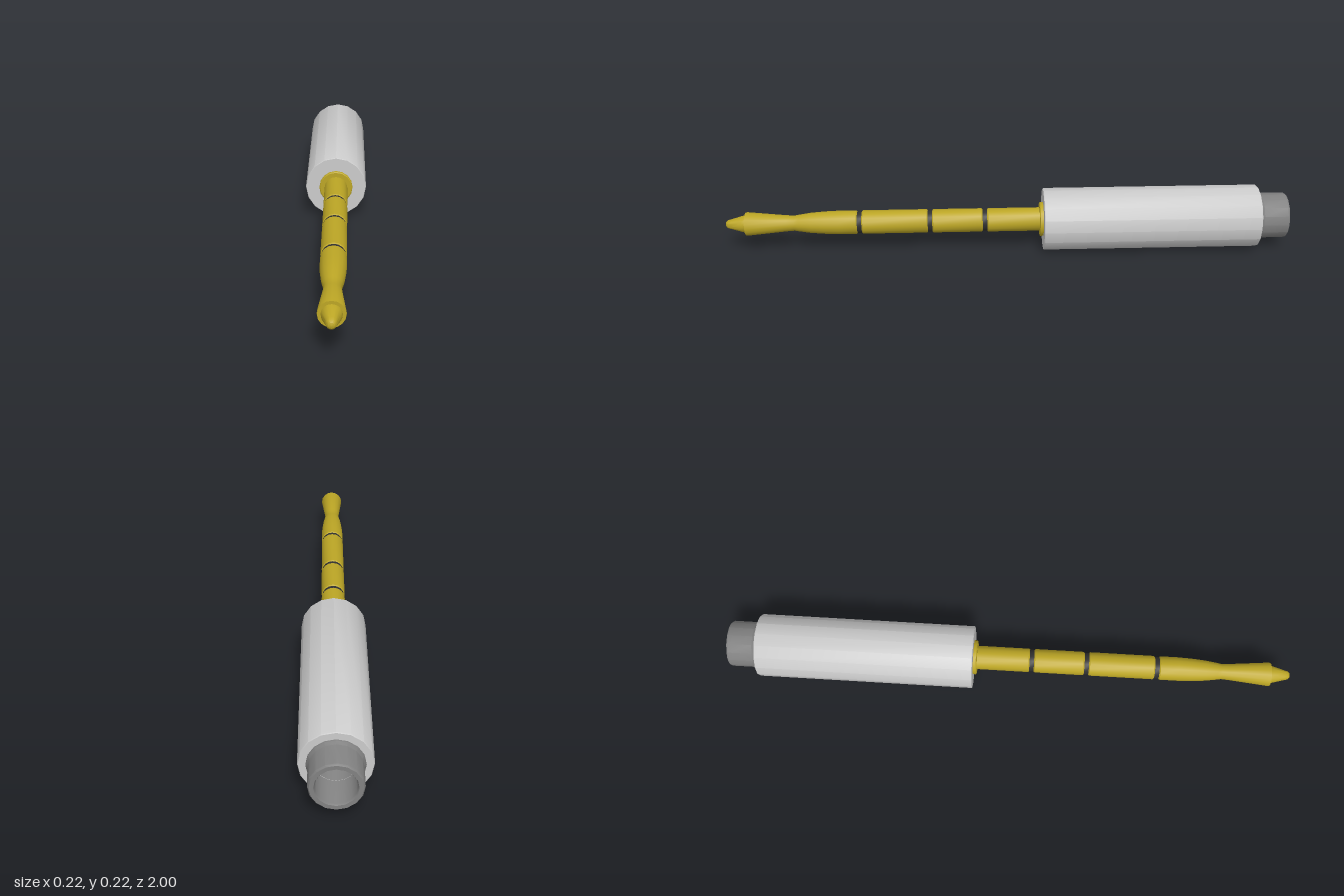
import * as THREE from 'three';
import { toCreasedNormals } from 'three/addons/utils/BufferGeometryUtils.js';

const SIDES = 16;
const AXIS_Y = 0.112;

const silver = new THREE.MeshStandardMaterial({ color: 0xcccccc });
const steel = new THREE.MeshStandardMaterial({ color: 0x818181 });
const gold = new THREE.MeshStandardMaterial({ color: 0xbca625 });
const black = new THREE.MeshStandardMaterial({ color: 0x303030 });

// Turned part: profile of [radius, z], running from back to front
function turned(name, material, profile) {
  const points = profile.map(([r, z]) => new THREE.Vector2(r, z));
  const geometry = new THREE.LatheGeometry(points, SIDES).rotateX(Math.PI / 2);
  const mesh = new THREE.Mesh(toCreasedNormals(geometry, 0.6), material);
  mesh.name = name;
  return mesh;
}

export function createModel() {
  const plug = new THREE.Group();
  plug.name = 'audioPlug';
  plug.position.y = AXIS_Y;

  // Handle sleeve with slightly softened rims
  plug.add(turned('handleSleeve', silver, [
    [0.06, -0.895], [0.109, -0.895], [0.111, -0.892],
    [0.111, -0.131], [0.109, -0.128], [0.04, -0.128],
  ]));

  // Hollow cable socket at the back
  plug.add(turned('cableSocket', steel, [
    [0, -0.2], [0.061, -0.2], [0.061, -0.994], [0.064, -1],
    [0.077, -1], [0.081, -0.994], [0.081, -0.91], [0.087, -0.9], [0.087, -0.89],
  ]));

  // Collar where the shaft enters the sleeve
  plug.add(turned('shaftCollar', gold, [
    [0.061, -0.14], [0.061, -0.118], [0.058, -0.115], [0.03, -0.115],
  ]));

  // Shaft segments separated by insulating rings
  const grooves = [0.08, 0.275, 0.525];
  const half = 0.008, r = 0.042;
  let start = -0.13;
  for (const z of grooves) {
    plug.add(turned('shaftSegment', gold, [
      [0, start], [r - 0.003, start], [r, start + 0.004],
      [r, z - half - 0.004], [r - 0.003, z - half], [0, z - half],
    ]));
    plug.add(turned('insulatingRing', black, [[0.039, z - half], [0.039, z + half]]));
    start = z + half;
  }

  // Contact tip: waist, flare, shoulder and rounded nose
  plug.add(turned('contactTip', gold, [
    [0, start], [r - 0.003, start], [r, start + 0.004],
    [r, 0.6], [0.04, 0.65], [0.036, 0.7], [0.03, 0.74], [0.027, 0.757],
    [0.029, 0.785], [0.042, 0.922], [0.041, 0.928], [0.031, 0.928],
    [0.029, 0.94], [0.018, 0.978], [0.015, 0.99], [0.009, 0.997], [0, 1],
  ]));

  const model = new THREE.Group();
  model.add(plug);
  return model;
}
